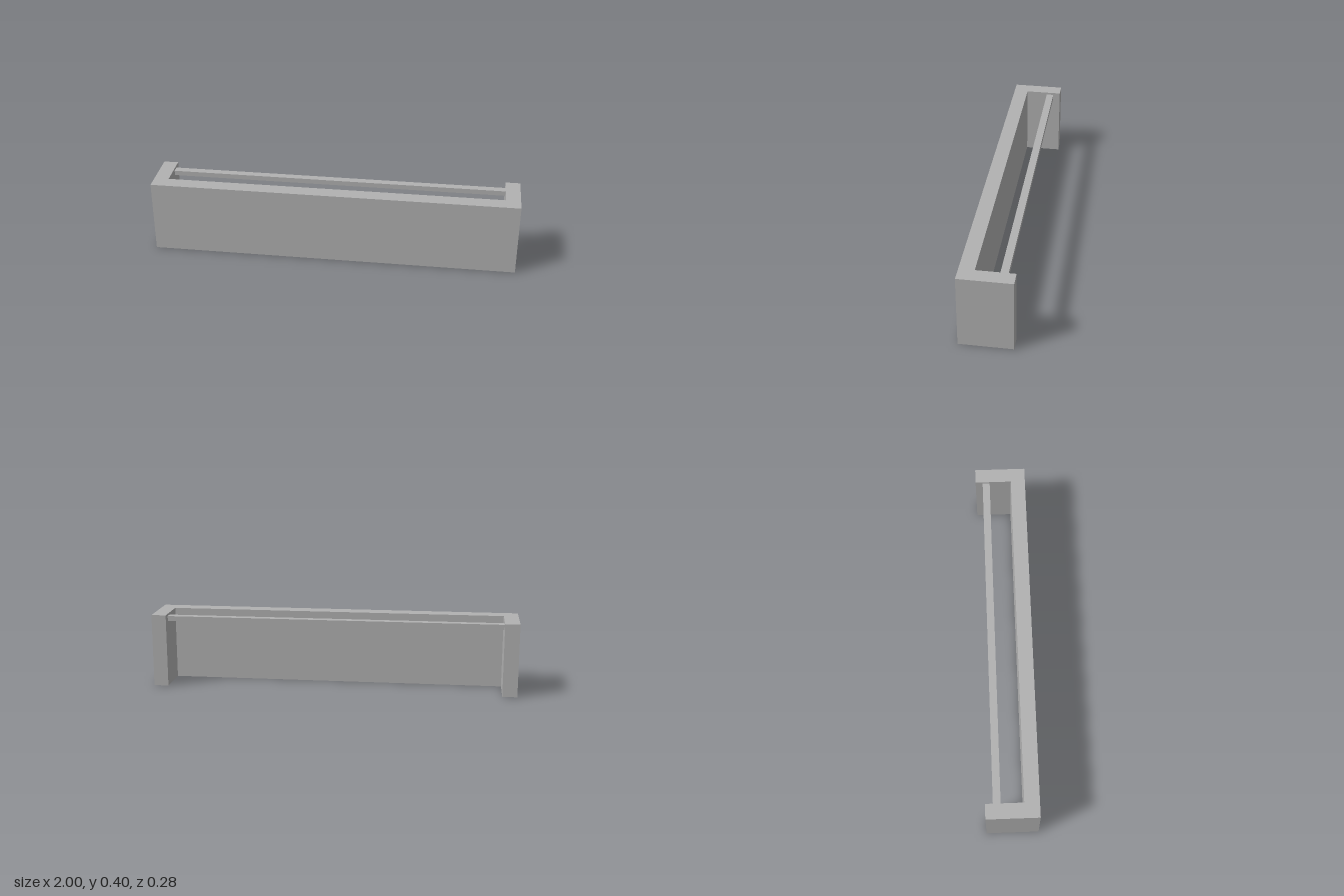
import * as THREE from 'three';

const W = 2, H = 0.4, D = 0.28, T = 0.08; // overall size and wall thickness

export function createModel() {
  const group = new THREE.Group();
  const grey = new THREE.MeshStandardMaterial({ color: 0xb2b2b2 });
  grey.name = 'light grey';

  // U-shaped surround, drawn in plan (shape y = -z) and raised to full height
  const x = W / 2, z = D / 2;
  const plan = new THREE.Shape([
    [-x, -z], [x, -z], [x, z], [x - T, z],
    [x - T, -z + T], [-x + T, -z + T], [-x + T, z], [-x, z],
  ].map(([a, b]) => new THREE.Vector2(a, b)));
  const surroundGeometry = new THREE.ExtrudeGeometry(plan, { depth: H, bevelEnabled: false });
  surroundGeometry.rotateX(-Math.PI / 2);
  const surround = new THREE.Mesh(surroundGeometry, grey);
  surround.name = 'surround';
  group.add(surround);

  // Thin rail between the two ends, just below the top
  const rail = new THREE.Mesh(new THREE.BoxGeometry(W - 2 * T, 0.027, 0.04), grey);
  rail.name = 'backRail';
  rail.position.set(0, 0.374, -0.08);
  group.add(rail);

  return group;
}
